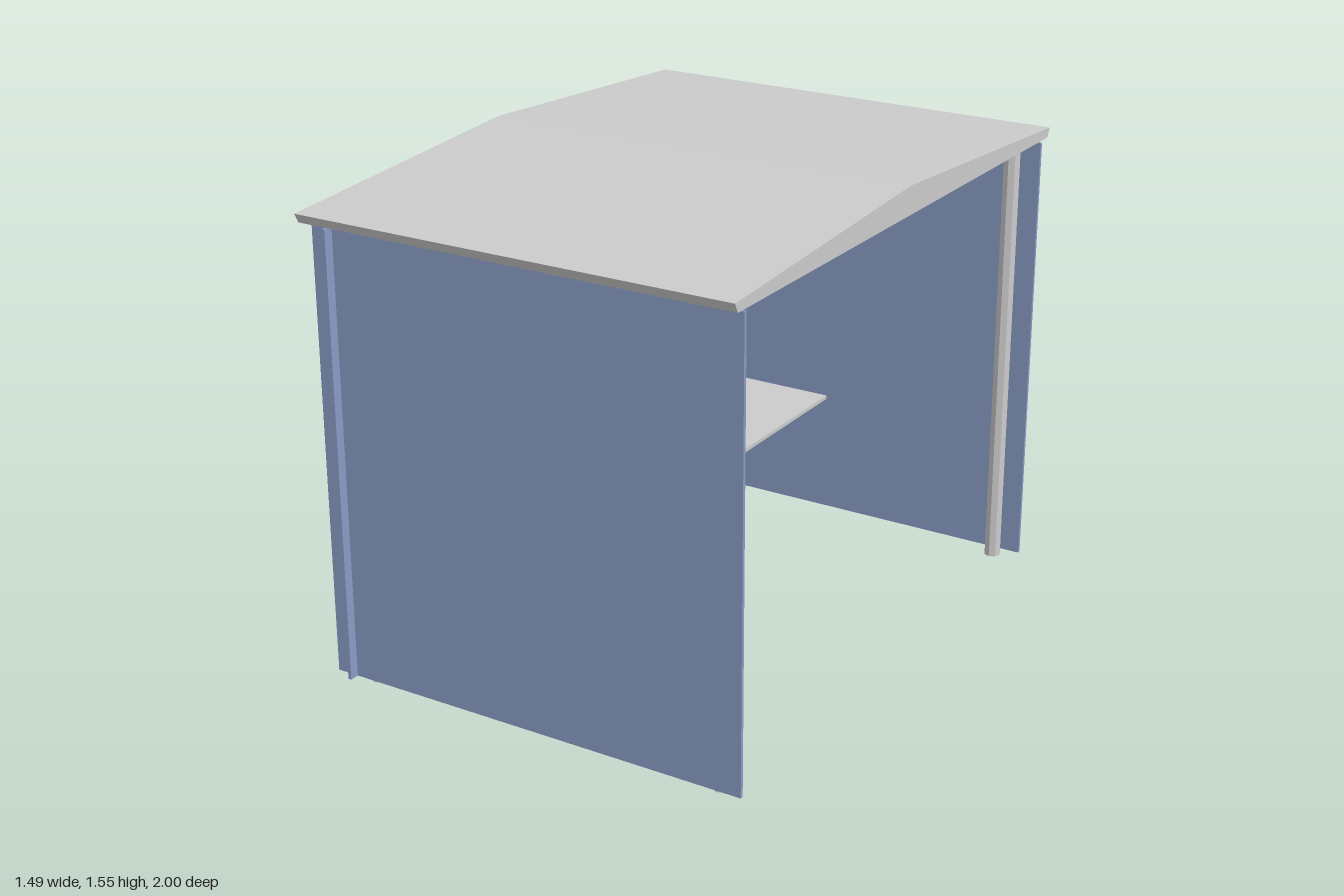
import * as THREE from 'three';

export function createModel() {
  const group = new THREE.Group();
  const grey = new THREE.MeshStandardMaterial({ color: 0xcccccc, flatShading: true });
  const blue = new THREE.MeshStandardMaterial({ color: 0x889cc5, flatShading: true });

  // Box given by its lower and upper corners
  const box = (name, material, [x0, y0, z0], [x1, y1, z1]) => {
    const mesh = new THREE.Mesh(new THREE.BoxGeometry(x1 - x0, y1 - y0, z1 - z0), material);
    mesh.position.set((x0 + x1) / 2, (y0 + y1) / 2, (z0 + z1) / 2);
    mesh.name = name;
    group.add(mesh);
  };

  const eave = 1.465;
  const wallBase = 0.01;

  // Thin wall panels; the panels cross and overrun each other at the closed corners
  box('frontWall', blue, [-0.71, wallBase, 0.957], [0.74, eave, 0.968]);
  box('backWall', blue, [-0.71, wallBase, -0.92], [0.74, eave, -0.909]);
  box('sideWall', blue, [-0.647, wallBase, -0.94], [-0.636, eave, 1.0]);

  // Shelf along the closed side
  box('shelf', grey, [-0.636, 0.42, -0.909], [-0.02, 0.433, 0.957]);

  // Corner posts
  const postGeometry = new THREE.CylinderGeometry(0.028, 0.028, eave, 8);
  for (const x of [-0.575, 0.657]) {
    for (const z of [-0.878, 0.932]) {
      const post = new THREE.Mesh(postGeometry, grey);
      post.position.set(x, eave / 2, z);
      post.name = 'post';
      group.add(post);
    }
  }

  // Low gabled roof: cross-section in z and y, extruded along x
  const section = new THREE.Shape([
    [-0.985, eave], [0.985, eave], [1, 1.495], [0, 1.555], [-1, 1.495],
  ].map(([z, y]) => new THREE.Vector2(z, y)));
  const roof = new THREE.Mesh(
    new THREE.ExtrudeGeometry(section, { depth: 1.475, bevelEnabled: false }), grey);
  roof.rotation.y = -Math.PI / 2;
  roof.position.x = 0.73;
  roof.name = 'roof';
  group.add(roof);

  return group;
}
